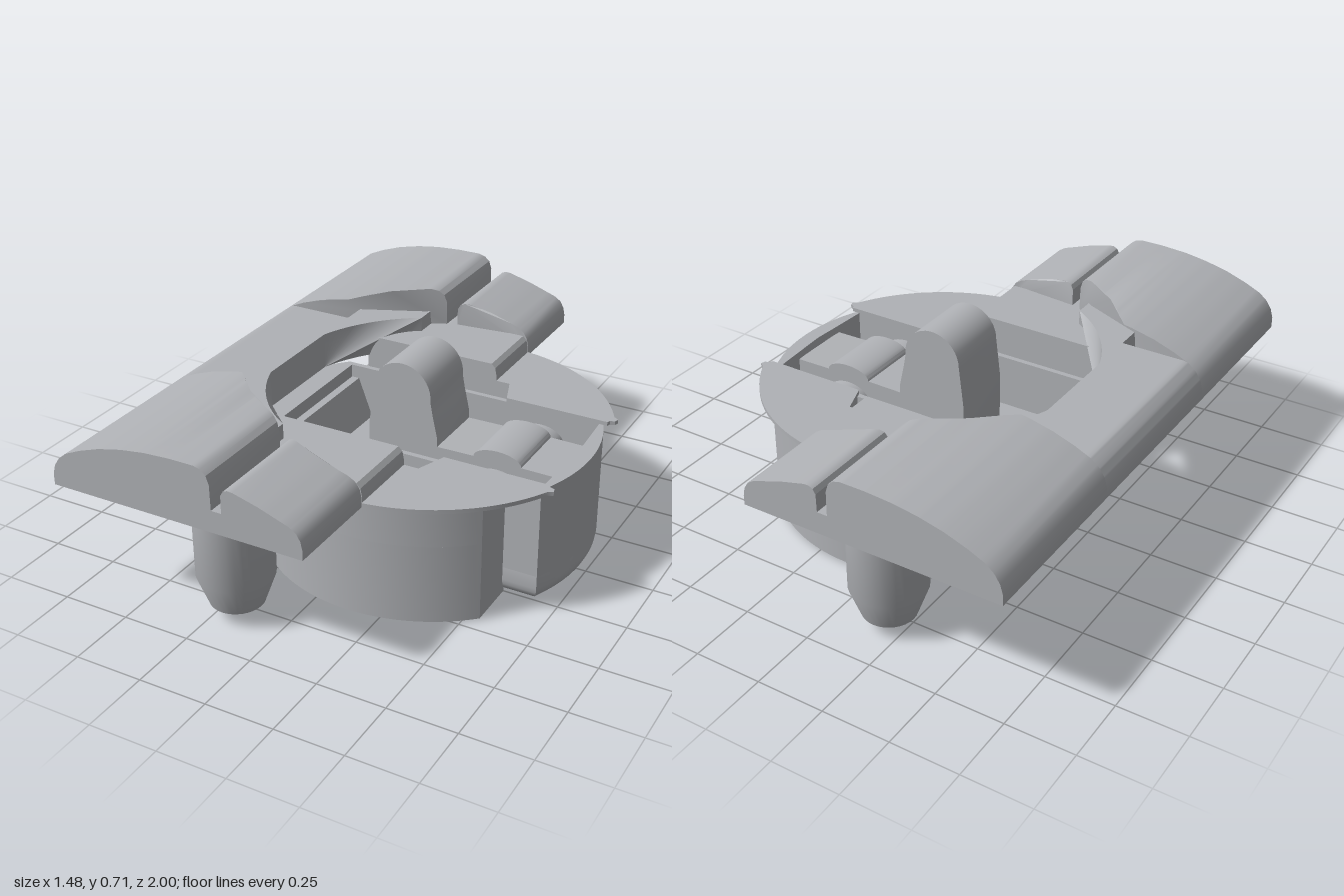
import * as THREE from 'three';
import { toCreasedNormals } from 'three/addons/utils/BufferGeometryUtils.js';

const CX = 0.13; // x of the round housing's axis
const circle = (x, r) => Math.sqrt(Math.max(0, r * r - (x - CX) ** 2));

// Top edge of the bar, as x, y
const TOP = [[-0.74, 0.49], [-0.73, 0.525], [-0.71, 0.555], [-0.68, 0.58], [-0.62, 0.607], [-0.54, 0.635],
  [-0.45, 0.656], [-0.36, 0.669], [-0.26, 0.675], [-0.17, 0.675], [-0.145, 0.668], [-0.125, 0.651],
  [-0.115, 0.62], [-0.114, 0.53], [-0.076, 0.53], [-0.075, 0.595], [-0.065, 0.612], [-0.05, 0.619],
  [-0.03, 0.618], [0.06, 0.594], [0.17, 0.556], [0.195, 0.54], [0.21, 0.515], [0.216, 0.485]];

function topY(x) {
  for (let i = 1; i < TOP.length; i++) {
    const [a, b] = [TOP[i - 1], TOP[i]];
    if (x <= b[0]) return a[1] + (b[1] - a[1]) * (x - a[0]) / (b[0] - a[0]);
  }
  return TOP[TOP.length - 1][1];
}

const toShape = (pts) => new THREE.Shape(pts.map(([x, y]) => new THREE.Vector2(x, y)));

export function createModel() {
  const group = new THREE.Group();
  const grey = new THREE.MeshStandardMaterial({ color: 0xb0b2b6 });
  grey.name = 'grey';

  function add(name, geometry, crease = 0.5) {
    const mesh = new THREE.Mesh(toCreasedNormals(geometry, crease), grey);
    mesh.name = name;
    group.add(mesh);
    return mesh;
  }

  // Side profile (x, y) extruded between two z values
  function side(name, pts, z0, z1) {
    const g = new THREE.ExtrudeGeometry(toShape(pts), { depth: z1 - z0, bevelEnabled: false });
    return add(name, g.translate(0, 0, z0));
  }

  // Plan outline (x, z) extruded upward from y0 to y1
  function plan(name, pts, y0, y1, hole) {
    const shape = toShape(pts.map(([x, z]) => [x, -z]));
    if (hole) shape.holes.push(toShape(hole));
    const g = new THREE.ExtrudeGeometry(shape, { depth: y1 - y0, bevelEnabled: false });
    return add(name, g.rotateX(-Math.PI / 2).translate(0, y0, 0));
  }

  // Slice of the bar whose inner end follows zIn(x)
  function barSlice(name, x0, x1, cap, zIn, zOut, s) {
    const xs = TOP.map((p) => p[0]).filter((x) => x > x0 && x < x1);
    for (let i = 0; i <= 24; i++) xs.push(x0 + (x1 - x0) * i / 24);
    const sorted = xs.sort((a, b) => a - b).filter((x, i, all) => i === 0 || x - all[i - 1] > 1e-5);
    const upper = sorted.map((x) => [x, Math.min(cap, topY(x))]);
    const lower = sorted.map((x) => [x, 0.45]).reverse();
    const g = new THREE.ExtrudeGeometry(toShape([...upper, ...lower]), { depth: 1, bevelEnabled: false });
    const p = g.attributes.position;
    for (let i = 0; i < p.count; i++) {
      const atOuter = (p.getZ(i) > 0.5) === (s > 0);
      p.setZ(i, s * (atOuter ? zOut : zIn(p.getX(i))));
    }
    g.computeVertexNormals();
    add(name, g);
  }

  // Points along a circle about the housing axis, from xa to xb, on side s
  function arc(r, xa, xb, s, n = 28) {
    const a = Math.acos((xa - CX) / r), b = Math.acos((xb - CX) / r);
    return Array.from({ length: n + 1 }, (_, i) => {
      const t = a + (b - a) * i / n;
      return [CX + r * Math.cos(t), s * r * Math.sin(t)];
    });
  }

  // Bar: low middle, then mirrored wings, ledges and pins
  barSlice('barMiddle', -0.74, -0.42, 0.585, () => -0.36, 0.36, 1);
  for (const s of [1, -1]) {
    barSlice('barWing', -0.74, 0.216, 1, (x) => Math.max(0.36, circle(x, 0.65)), 1, s);
    barSlice('upperLedge', -0.42, -0.17, 0.585, (x) => circle(x, 0.58), 0.66, s);
    barSlice('lowerLedge', -0.33, 0.216, 0.53, () => 0.36, 0.64, s);

    const pin = [[0, 0.055], [0.095, 0.055], [0.135, 0.165], [0.135, 0.46], [0, 0.46]];
    add('pin', new THREE.LatheGeometry(pin.map(([x, y]) => new THREE.Vector2(x, y)), 32)).position.set(-0.185, 0, s * 0.79);

    // Round housing lobes, with a recessed shelf beside the channel
    plan('lobeBase', [[-0.33, s * 0.255], [0.55, s * 0.255], ...arc(0.61, 0.55, -0.33, s)], 0.005, 0.3);
    plan('lobeWall', [[-0.33, s * 0.36], [0.27, s * 0.36], [0.31, s * 0.255], [0.55, s * 0.255],
      ...arc(0.61, 0.55, -0.33, s)], 0.3, 0.45);

    // Thin flange with a small nick at its front corner
    plan('flange', [[-0.05, s * 0.36], [0.27, s * 0.36], [0.31, s * 0.25], [0.7, s * 0.25], [0.705, s * 0.262],
      [0.722, s * 0.268], [0.727, s * 0.285], ...arc(0.65, 0.708, -0.05, s)], 0.45, 0.465);
  }

  // Central channel: rounded bottom, solid floor and open rim
  const end = [];
  for (let i = 0; i <= 12; i++) {
    const z = -0.27 + 0.54 * i / 12;
    end.push([CX + Math.sqrt(0.61 ** 2 - z * z), z]);
  }
  const outline = [[-0.36, -0.27], ...end, [-0.36, 0.27], [-0.435, 0.19], [-0.435, -0.19]];
  const bottom = new THREE.ExtrudeGeometry(toShape(outline.map(([x, z]) => [x, -z])),
    { depth: 0.05, bevelThickness: 0.06, bevelSize: 0.06, bevelOffset: -0.06, bevelSegments: 5 });
  add('channelBottom', bottom.rotateX(-Math.PI / 2).translate(0, 0.06, 0), 0.7);
  plan('channelFloor', outline, 0.06, 0.25);
  plan('channelRim', outline, 0.25, 0.45, [[-0.34, -0.25], [0.67, -0.25], [0.685, 0], [0.67, 0.25], [-0.34, 0.25]]);

  // Latch: upright nose with a round head
  const nose = [[-0.05, 0.25], [0.22, 0.25], [0.22, 0.45], [0.2, 0.54]];
  for (let i = 0; i <= 20; i++) {
    const t = -0.1 + (Math.PI + 0.1) * i / 20;
    nose.push([0.08 + 0.112 * Math.cos(t), 0.597 + 0.112 * Math.sin(t)]);
  }
  nose.push([-0.05, 0.45]);
  side('latchNose', nose, -0.125, 0.125);

  // Latch arm and its wider hump inside the channel
  const hump = (x0, x1, base, rise) => {
    const pts = [[x1, 0.24], [x1, base]];
    for (let i = 0; i <= 14; i++) {
      const t = Math.PI * i / 14;
      pts.push([0.45 + 0.09 * Math.cos(t), base + 0.002 + rise * Math.sin(t)]);
    }
    return [...pts, [x0, base], [x0, 0.24]];
  };
  side('latchArm', hump(0.2, 0.68, 0.42, 0.04), -0.125, 0.125);
  side('latchHump', hump(0.25, 0.54, 0.33, 0.06), -0.25, 0.25);
  side('latchHeel', [[-0.34, 0.24], [-0.25, 0.24], [-0.31, 0.4], [-0.34, 0.4]], -0.25, 0.25);

  return group;
}
